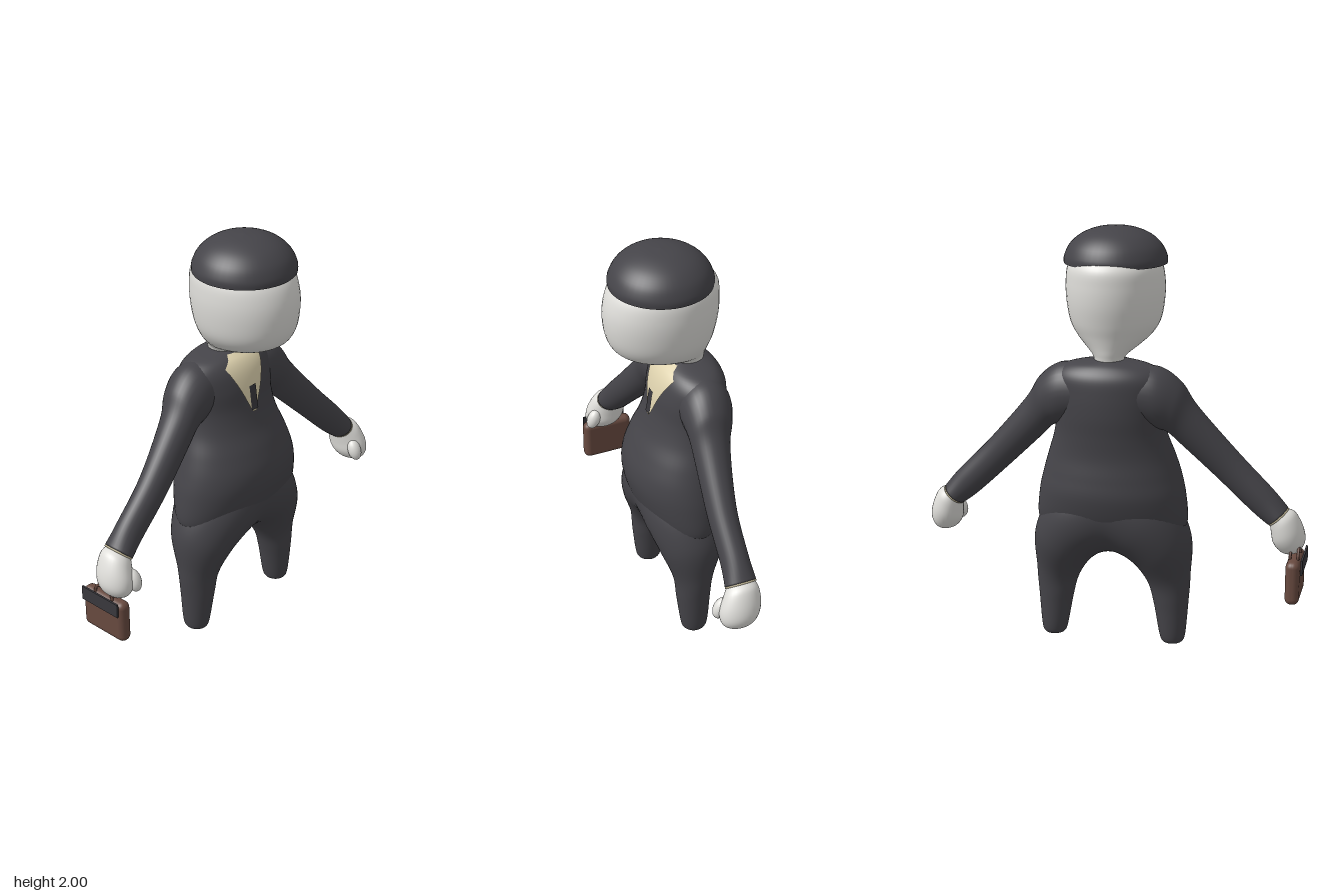
import * as THREE from 'three';
import { RoundedBoxGeometry } from 'three/addons/geometries/RoundedBoxGeometry.js';

const mat = (name, color, side = THREE.FrontSide) => {
  const m = new THREE.MeshStandardMaterial({ color, side });
  m.name = name;
  return m;
};

// Catmull-Rom sample of a table of number rows, t from 0 to 1
function sample(keys, t) {
  const last = keys.length - 1;
  const i = Math.min(Math.floor(t * last), last - 1), f = t * last - i;
  const [a, b, c, d] = [i - 1, i, i + 1, i + 2].map(k => keys[Math.max(0, Math.min(last, k))]);
  return b.map((_, n) => 0.5 * (2 * b[n] + (c[n] - a[n]) * f
    + (2 * a[n] - 5 * b[n] + 4 * c[n] - d[n]) * f * f
    + (3 * b[n] - a[n] - 3 * c[n] + d[n]) * f * f * f));
}

// Smooth closed skin over oval sections: [innerX, innerY, outerX, outerY, frontZ, backZ]
function loft(keys, rows = 40, sides = 40) {
  const pos = [], idx = [];
  for (let r = 0; r <= rows; r++) {
    const [ix, iy, ox, oy, zf, zb] = sample(keys, r / rows);
    for (let s = 0; s < sides; s++) {
      const a = (s / sides) * Math.PI * 2, c = Math.cos(a) / 2, n = Math.sin(a) / 2;
      pos.push((ix + ox) / 2 + (ox - ix) * c, (iy + oy) / 2 + (oy - iy) * c, (zf + zb) / 2 + (zf - zb) * n);
      if (r < rows) {
        const p = r * sides + s, q = r * sides + (s + 1) % sides;
        idx.push(p, q, p + sides, q, q + sides, p + sides);
      }
    }
  }
  // end caps
  for (const [row, end] of [[0, 0], [rows, 1]]) {
    const [ix, iy, ox, oy, zf, zb] = sample(keys, end);
    const centre = pos.length / 3;
    pos.push((ix + ox) / 2, (iy + oy) / 2, (zf + zb) / 2);
    for (let s = 0; s < sides; s++) {
      const p = row * sides + s, q = row * sides + (s + 1) % sides;
      if (end) idx.push(centre, p, q); else idx.push(centre, q, p);
    }
  }
  // turn faces outwards if the enclosed volume is negative
  let volume = 0;
  const v = k => new THREE.Vector3(pos[k * 3], pos[k * 3 + 1], pos[k * 3 + 2]);
  for (let k = 0; k < idx.length; k += 3) volume += v(idx[k]).dot(v(idx[k + 1]).cross(v(idx[k + 2])));
  if (volume < 0) idx.reverse();
  const g = new THREE.BufferGeometry();
  g.setAttribute('position', new THREE.Float32BufferAttribute(pos, 3));
  g.setIndex(idx);
  g.computeVertexNormals();
  return g;
}

const upright = rows => rows.map(([y, w, zf, zb]) => [-w, y, w, y, zf, zb]);
const flip = rows => rows.map(([a, b, c, d, e, f]) => [-a, b, -c, d, e, f]);

const torsoKeys = upright([
  [0.55, 0.33, 0.08, -0.18], [0.62, 0.362, 0.14, -0.24], [0.75, 0.352, 0.178, -0.278],
  [0.85, 0.33, 0.178, -0.275], [0.95, 0.3, 0.145, -0.265], [1.05, 0.268, 0.1, -0.27],
  [1.15, 0.258, 0.07, -0.28], [1.25, 0.265, 0.055, -0.28], [1.33, 0.26, 0.03, -0.27],
  [1.38, 0.2, -0.005, -0.235], [1.405, 0.075, -0.05, -0.19],
]);

// Depth of the chest surface at x, y
function chestZ(x, y) {
  let lo = 0, hi = 1;
  for (let i = 0; i < 25; i++) {
    const m = (lo + hi) / 2;
    if (sample(torsoKeys, m)[1] < y) lo = m; else hi = m;
  }
  const [, , w, , zf, zb] = sample(torsoKeys, lo);
  return (zf + zb) / 2 + (zf - zb) / 2 * Math.sqrt(Math.max(0, 1 - (x / w) ** 2));
}

// Thin cloth panel lying on the chest, half-width given by a function of height
function chestPanel(y0, y1, halfWidth, lift) {
  const g = new THREE.PlaneGeometry(2, 1, 16, 20), p = g.attributes.position;
  for (let i = 0; i < p.count; i++) {
    const y = y0 + (p.getY(i) + 0.5) * (y1 - y0), x = p.getX(i) * halfWidth(y);
    p.setXYZ(i, x, y, chestZ(x, y) + lift);
  }
  g.computeVertexNormals();
  return g;
}

export function createModel() {
  const suit = mat('charcoal suit', 0x454449);
  const skin = mat('pale skin', 0xdfdeda);
  const shirt = mat('cream shirt', 0xded2ae, THREE.DoubleSide);
  const tieCloth = mat('dark cloth', 0x39383d, THREE.DoubleSide);
  const leather = mat('brown leather', 0x684a40);

  const root = new THREE.Group();
  root.name = 'figure';
  const add = (name, geometry, material, parent = root) => {
    const m = new THREE.Mesh(geometry, material);
    m.name = name;
    parent.add(m);
    return m;
  };

  // Suit: torso, and both legs as one arch from foot to foot
  add('torso', loft(torsoKeys, 60, 56), suit);
  const leg = [
    [0.27, 0.0, 0.315, 0.0, -0.02, -0.06], [0.243, 0.008, 0.342, 0.008, 0.015, -0.09],
    [0.228, 0.05, 0.355, 0.05, 0.03, -0.105], [0.2, 0.2, 0.367, 0.2, 0.048, -0.118],
    [0.172, 0.3, 0.376, 0.34, 0.06, -0.135], [0.12, 0.385, 0.374, 0.56, 0.11, -0.2],
    [0.06, 0.435, 0.25, 0.78, 0.15, -0.245],
  ];
  add('legs', loft([...leg, [0, 0.45, 0, 0.92, 0.16, -0.255], ...flip(leg).reverse()], 100, 44), suit);

  // Shirt front and tie
  add('shirtFront', chestPanel(1.13, 1.4, y => y < 1.36
    ? THREE.MathUtils.mapLinear(y, 1.13, 1.36, 0.012, 0.118)
    : THREE.MathUtils.mapLinear(y, 1.36, 1.4, 0.118, 0.055), 0.007), shirt);
  add('tie', chestPanel(1.14, 1.26, () => 0.021, 0.012), tieCloth);

  // Head and round cap
  add('head', loft(upright([
    [1.37, 0.07, -0.05, -0.19], [1.41, 0.07, -0.045, -0.195], [1.435, 0.09, 0.02, -0.2],
    [1.465, 0.13, 0.13, -0.205], [1.51, 0.178, 0.225, -0.215], [1.57, 0.211, 0.268, -0.232],
    [1.66, 0.227, 0.285, -0.25], [1.75, 0.229, 0.28, -0.254], [1.83, 0.215, 0.25, -0.243],
    [1.88, 0.17, 0.19, -0.18], [1.9, 0.06, 0.08, -0.06],
  ]), 60, 48), skin);
  const dome = new THREE.SplineCurve([[0.24, 1.832], [0.238, 1.865], [0.212, 1.917], [0.16, 1.962],
    [0.085, 1.991], [0, 2]].map(p => new THREE.Vector2(...p))).getPoints(24);
  add('cap', new THREE.LatheGeometry(dome, 48), suit).position.z = 0.015;
  const brim = add('capUnderside', new THREE.CircleGeometry(0.24, 48), suit);
  brim.rotation.x = Math.PI / 2;
  brim.position.set(0, 1.832, 0.015);

  // Arms, cuffs and hands
  const arm = [
    [0.12, 1.12, 0.12, 1.385, 0.0, -0.25], [0.22, 1.09, 0.24, 1.375, 0.005, -0.24],
    [0.275, 1.07, 0.335, 1.305, 0.005, -0.21], [0.335, 1.01, 0.41, 1.19, 0.005, -0.17],
    [0.5, 0.85, 0.6, 0.97, 0.018, -0.12], [0.66, 0.7, 0.76, 0.805, 0.022, -0.11],
    [0.742, 0.635, 0.833, 0.718, 0.035, -0.115],
  ];
  const cuff = [[0.738, 0.643, 0.826, 0.722, 0.033, -0.113], [0.748, 0.631, 0.838, 0.711, 0.036, -0.116]];
  const hand = [
    [0.752, 0.64, 0.832, 0.71, 0.03, -0.108], [0.758, 0.59, 0.87, 0.69, 0.055, -0.118],
    [0.765, 0.545, 0.905, 0.62, 0.08, -0.118], [0.785, 0.512, 0.916, 0.555, 0.08, -0.1],
    [0.81, 0.495, 0.895, 0.506, 0.055, -0.07], [0.845, 0.49, 0.86, 0.492, 0.0, -0.015],
  ];
  for (const [side, s] of [['left', 1], ['right', -1]]) {
    const to = rows => (s > 0 ? rows : flip(rows));
    add(side + 'Arm', loft(to(arm), 50, 32), suit);
    add(side + 'Cuff', loft(to(cuff), 2, 32), shirt);
    add(side + 'Hand', loft(to(hand), 32, 32), skin);
    const thumb = add(side + 'Thumb', new THREE.SphereGeometry(1, 20, 14), skin);
    thumb.scale.set(0.034, 0.055, 0.034);
    thumb.position.set(s * 0.795, 0.568, 0.06);
    thumb.rotation.x = -0.4;
  }

  // Briefcase carried in the right hand
  const briefcase = new THREE.Group();
  briefcase.name = 'briefcase';
  briefcase.position.set(-0.875, 0.385, -0.04);
  root.add(briefcase);
  add('caseBody', new RoundedBoxGeometry(0.066, 0.21, 0.26, 4, 0.03), leather, briefcase);
  for (const x of [-0.018, 0.018]) {
    const handle = add('caseHandle', new THREE.TorusGeometry(0.055, 0.007, 8, 20, Math.PI), leather, briefcase);
    handle.rotation.y = Math.PI / 2;
    handle.position.set(x, 0.1, 0);
  }
  add('caseFlap', new THREE.BoxGeometry(0.009, 0.07, 0.23), tieCloth, briefcase).position.set(-0.042, 0.08, 0);
  return root;
}
